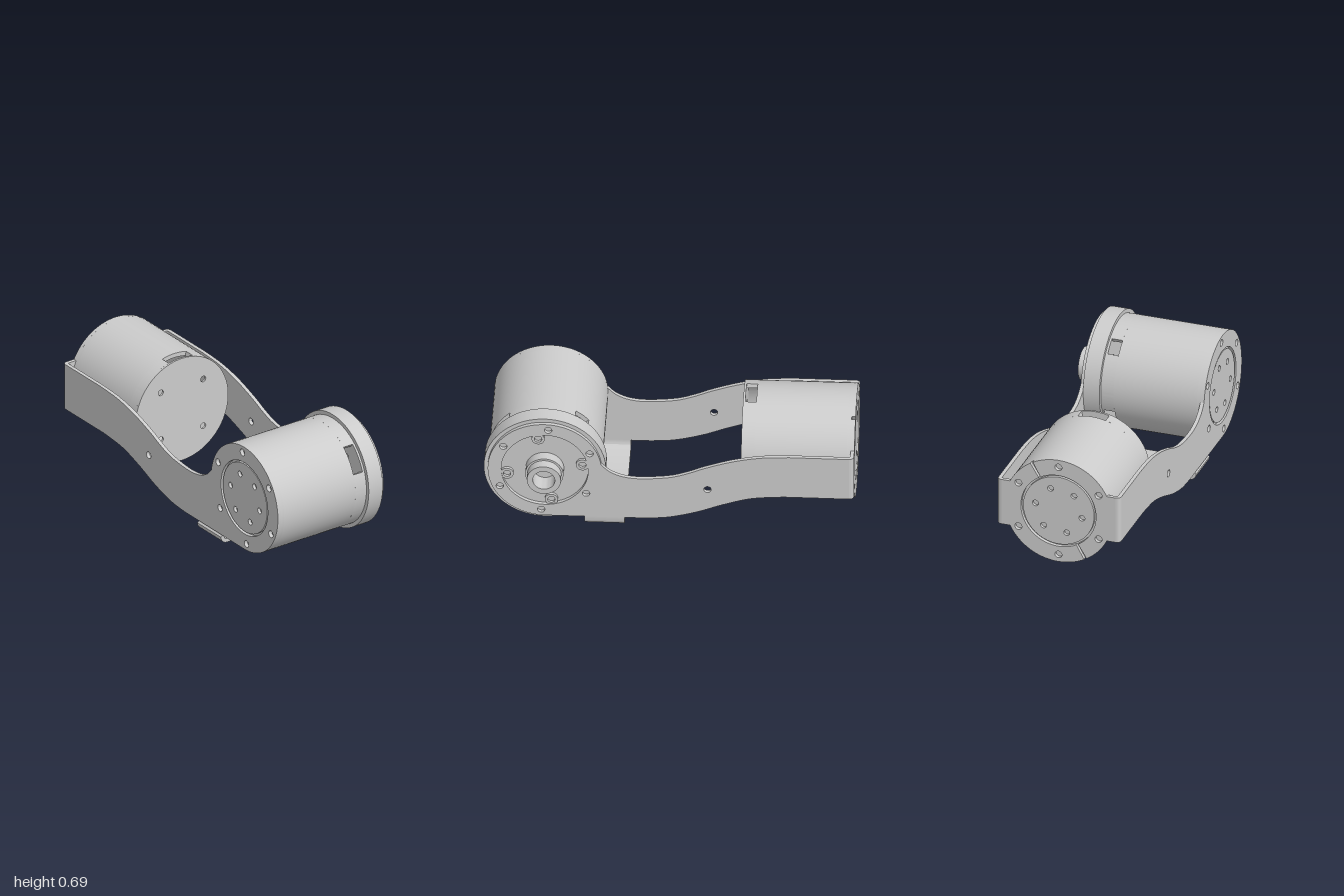
import * as THREE from 'three';
import { toCreasedNormals } from 'three/addons/utils/BufferGeometryUtils.js';

const R = 0.308;          // motor radius
const T = 0.021;          // bracket sheet thickness
const LEFT = -0.4, RIGHT = 0.304, MID = -0.048, AXIS_Y = 0.365;
const rad = THREE.MathUtils.degToRad;
const material = new THREE.MeshStandardMaterial({ color: 0xcccccc, side: THREE.DoubleSide });

function add(parent, name, geometry, x = 0, y = 0, z = 0) {
  const mesh = new THREE.Mesh(toCreasedNormals(geometry, 0.5), material);
  mesh.name = name;
  mesh.position.set(x, y, z);
  parent.add(mesh);
  return mesh;
}

const extrude = (shape, depth) =>
  new THREE.ExtrudeGeometry(shape, { depth, bevelEnabled: false, curveSegments: 40 });

function disc(r) {
  return new THREE.Shape().absarc(0, 0, r, 0, Math.PI * 2);
}

function hole(shape, x, y, r) {
  shape.holes.push(new THREE.Path().absarc(x, y, r, 0, Math.PI * 2, true));
  return shape;
}

// Round holes evenly spaced on a circle
function boltCircle(shape, count, circleR, offset, r, cx = 0, cy = 0) {
  for (let i = 0; i < count; i++) {
    const a = rad(offset + (360 / count) * i);
    hole(shape, cx + circleR * Math.cos(a), cy + circleR * Math.sin(a), r);
  }
  return shape;
}

// Section of a tube wall between two angles
function arcWall(outer, inner, a0, a1) {
  return new THREE.Shape()
    .absarc(0, 0, outer, rad(a0), rad(a1), false)
    .absarc(0, 0, inner, rad(a1), rad(a0), true)
    .closePath();
}

// Hollow motor along local +z, mounting face at z = 0; windows are [centre, half width] in degrees
function motor(name, w0, w1, length, windows) {
  const g = new THREE.Group();
  g.name = name;
  const inner = 0.283;
  add(g, 'mountBase', extrude(disc(R), 0.02), 0, 0, T);
  add(g, 'mountDisc', extrude(boltCircle(disc(0.203), 6, 0.135, 10, 0.017), T - 0.004), 0, 0, 0.004);
  add(g, 'housing', extrude(hole(disc(R), 0, 0, inner), w0 - 0.041), 0, 0, 0.041);
  windows.forEach(([c, h], i) => {
    const [nc, nh] = windows[(i + 1) % windows.length];
    const end = nc - nh + (i === windows.length - 1 ? 360 : 0);
    add(g, 'windowBand', extrude(arcWall(R, inner, c + h, end), w1 - w0), 0, 0, w0);
  });
  add(g, 'endCap', extrude(boltCircle(disc(R), 4, 0.2, 45, 0.017), length - w1), 0, 0, w1);
  return g;
}

// Side sheet outline: local x runs to the rear, local y is up
function sidePlate(boreR) {
  const pts = a => a.map(([x, y]) => new THREE.Vector2(x, y));
  const s = new THREE.Shape();
  s.moveTo(-0.67, AXIS_Y - R);
  s.lineTo(-0.13, 0.058);
  s.splineThru(pts([[0, 0.07], [0.15, 0.11], [0.3, 0.168], [0.45, 0.213], [0.62, 0.23]]));
  s.lineTo(0.975, 0.23);
  s.lineTo(0.975, 0.5);
  s.lineTo(0.65, 0.5);
  s.splineThru(pts([[0.5, 0.49], [0.35, 0.46], [0.2, 0.41], [0.1, 0.368], [0, 0.338],
    [-0.15, 0.324], [-0.25, 0.335], [-0.32, 0.367], [-0.365, 0.41]]));
  s.absarc(-0.67, AXIS_Y, R, rad(8.4), rad(270), false);
  hole(s, 0.21, 0.265, 0.02);
  hole(s, -0.67, AXIS_Y, boreR);
  boltCircle(s, 6, 0.27, 26, 0.02, -0.67, AXIS_Y);
  return extrude(s, T);
}

// Half of the slotted rear ring with the strip that reaches the side sheet
function rearHalf() {
  const reach = 0.327, h = 0.135, a = Math.asin(h / R), b = 0.215;
  const s = new THREE.Shape();
  s.absarc(0, 0, R, rad(61.5), Math.PI - a, false);
  s.lineTo(-reach, h);
  s.lineTo(-reach, -h);
  s.absarc(0, 0, R, Math.PI + a, rad(238.5), false);
  s.absarc(0, 0, b, rad(238.5), rad(61.5), true);
  s.closePath();
  for (const d of [90, 150, 210]) hole(s, 0.265 * Math.cos(rad(d)), 0.265 * Math.sin(rad(d)), 0.02);
  return extrude(s, T);
}

export function createModel() {
  const model = new THREE.Group();
  model.name = 'twoMotorJoint';

  // Rear motor, axis front to back
  const rear = motor('rearMotor', 0.54, 0.6, 0.612, [[90, 15], [270, 15]]);
  rear.position.set(MID, AXIS_Y, -1);
  model.add(rear);

  // Front motor, axis left to right
  const front = motor('frontMotor', 0.517, 0.578, 0.59, [[-35, 15], [50.5, 8.5], [145, 15]]);
  front.position.set(LEFT, AXIS_Y, 0.67);
  front.rotation.y = Math.PI / 2;
  model.add(front);

  // Output flange, bolt bosses and hollow shaft
  add(front, 'flange', extrude(disc(0.33), 0.093), 0, 0, 0.59);
  for (let i = 0; i < 4; i++) {
    const a = rad(10 + 90 * i);
    add(front, 'boltBoss', extrude(hole(disc(0.035), 0, 0, 0.02), 0.016),
      0.207 * Math.cos(a), 0.207 * Math.sin(a), 0.683);
  }
  const shaft = [[0.103, 0], [0.103, 0.059], [0.092, 0.059], [0.092, 0.114], [0.06, 0.114], [0.06, 0.01], [0, 0.01]];
  add(front, 'outputShaft', new THREE.LatheGeometry(shaft.map(p => new THREE.Vector2(...p)), 48)
    .rotateX(Math.PI / 2), 0, 0, 0.683);

  // Bracket: two side sheets
  const bracket = new THREE.Group();
  bracket.name = 'bracket';
  model.add(bracket);
  add(bracket, 'leftSideSheet', sidePlate(0.235), RIGHT - T).rotation.y = Math.PI / 2;
  add(bracket, 'rightSideSheet', sidePlate(0.215), LEFT).rotation.y = Math.PI / 2;

  // Rear ring halves and the bent rear corners
  add(bracket, 'rearRingHalf', rearHalf(), MID, AXIS_Y, -1);
  add(bracket, 'rearRingHalf', rearHalf().rotateZ(Math.PI), MID, AXIS_Y, -1);
  for (const [x, a0] of [[LEFT + 0.025, 90], [RIGHT - 0.025, 0]]) {
    add(bracket, 'rearCorner', extrude(arcWall(0.025, 0.004, a0, a0 + 90), 0.27)
      .rotateX(-Math.PI / 2), x, 0.23, -0.975);
  }

  // Tray joining the side sheets underneath
  const c = 0.04, top = 0.06, ri = c - T;
  const u = new THREE.Shape();
  u.moveTo(LEFT, top);
  u.absarc(LEFT + c, c, c, Math.PI, Math.PI * 1.5, false);
  u.absarc(RIGHT - c, c, c, Math.PI * 1.5, Math.PI * 2, false);
  u.lineTo(RIGHT, top);
  u.lineTo(RIGHT - T, top);
  u.absarc(RIGHT - c, c, ri, 0, -Math.PI / 2, true);
  u.absarc(LEFT + c, c, ri, Math.PI * 1.5, Math.PI, true);
  u.lineTo(LEFT + T, top);
  u.closePath();
  add(bracket, 'bottomTray', extrude(u, 0.217), 0, 0, 0.238);

  return model;
}
